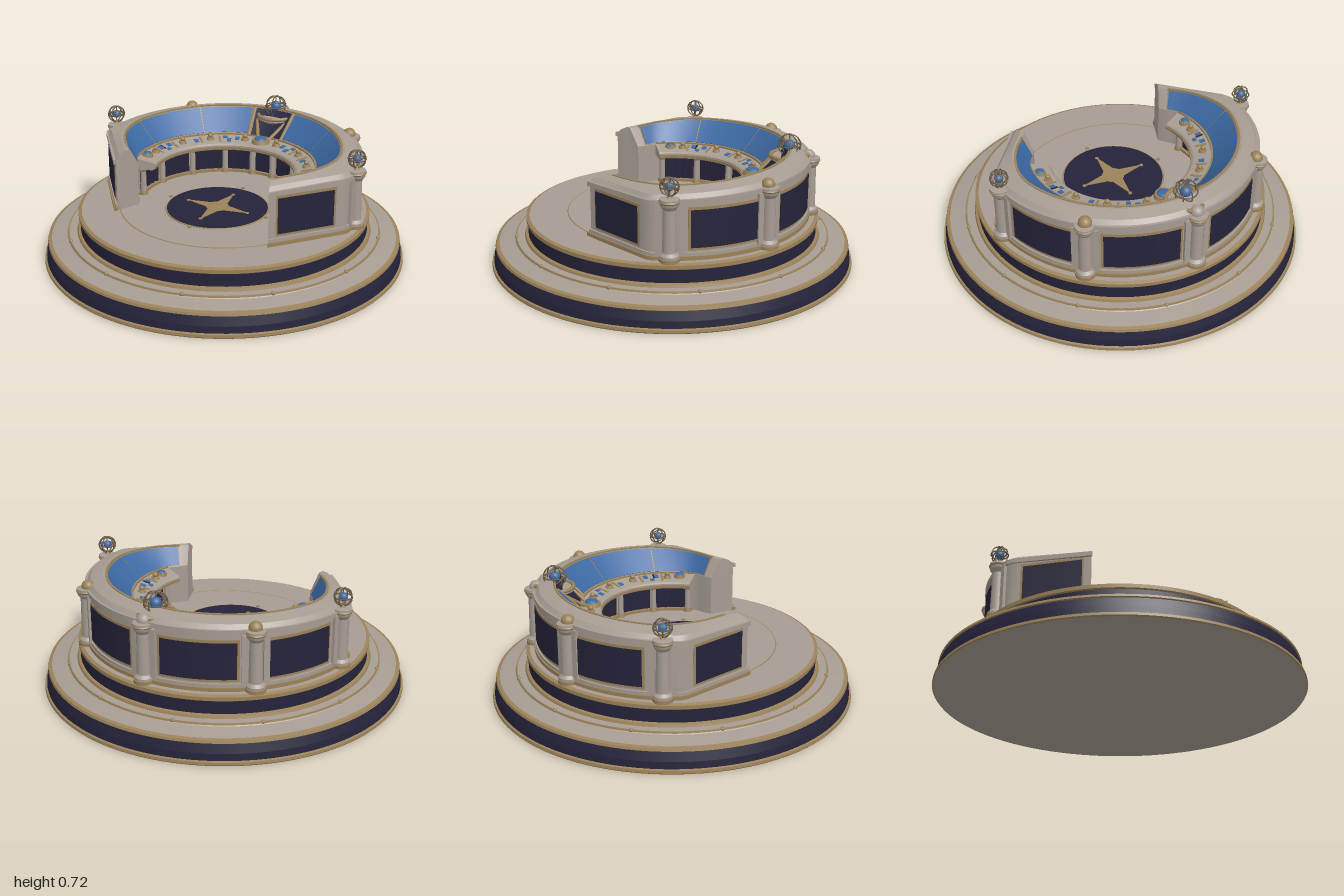
import * as THREE from 'three';
import { mergeGeometries } from 'three/addons/utils/BufferGeometryUtils.js';

const mat = (name, color) => Object.assign(new THREE.MeshStandardMaterial({ color }), { name });
const D = Math.PI / 180;
const smooth = (x, a, b) => THREE.MathUtils.smoothstep(x, a, b);

// Wall outline by angle (degrees from the back): round at the back, straight towards the front ends
const outerR = (a) => {
  a = Math.abs(a);
  return a < 93 ? 0.74 : 0.255 / (0.33 * Math.sin(a * D) - 0.279 * Math.cos(a * D));
};
const rimR = (a) => 0.635 - 0.115 * smooth(Math.abs(a), 75, 129);
const innerR = (a) => 0.5 - 0.03 * smooth(Math.abs(a), 100, 129);
const topY = (a) => 0.617 + 0.02 * Math.cos(a * D);

function place(a, r, y) {
  const s = smooth(Math.abs(a), 104, 129) * 8 * (outerR(a) - r) / 0.12;
  const t = (a - Math.sign(a) * s) * D;
  return [r * Math.sin(t), y, -r * Math.cos(t)];
}

// Sweeps a closed (radius, height) profile around the arc, with crisp profile edges and end caps
function sweep(a0, a1, profile) {
  const n = Math.max(2, Math.ceil((a1 - a0) / 2.5));
  const pos = [], idx = [];
  const count = profile(a0).length;
  for (let e = 0; e < count; e++) {
    const base = pos.length / 3;
    for (let i = 0; i <= n; i++) {
      const a = a0 + (a1 - a0) * i / n, p = profile(a);
      pos.push(...place(a, ...p[e]), ...place(a, ...p[(e + 1) % count]));
      if (i < n) {
        const k = base + i * 2;
        idx.push(k, k + 1, k + 2, k + 1, k + 3, k + 2);
      }
    }
  }
  for (const a of [a0, a1]) {
    const p = profile(a), base = pos.length / 3;
    p.forEach((q) => pos.push(...place(a, ...q)));
    const tris = THREE.ShapeUtils.triangulateShape(p.map((q) => new THREE.Vector2(...q)), []);
    for (const [i, j, k] of tris) idx.push(base + i, base + (a === a1 ? j : k), base + (a === a1 ? k : j));
  }
  const g = new THREE.BufferGeometry();
  g.setAttribute('position', new THREE.Float32BufferAttribute(pos, 3));
  g.setIndex(idx);
  g.computeVertexNormals();
  return g;
}

// Lathe with crisp edges between profile points
const turned = (pts, seg = 96) => mergeGeometries(pts.slice(1).map((p, i) =>
  new THREE.LatheGeometry([new THREE.Vector2(...pts[i]), new THREE.Vector2(...p)], seg)));
const rect = (r0, r1, y0, y1) => [[r0, y0], [r1, y0], [r1, y1], [r0, y1]];

// Thin plate lying on the sloping inside of the wall, between slope fractions t0 and t1
const slopePlate = (t0, t1, h) => (a) => {
  const r = innerR(a), dr = rimR(a) - r, dy = topY(a) - 0.5, l = Math.hypot(dr, dy);
  const at = (t, k) => [r + dr * t - dy / l * k, 0.5 + dy * t + dr / l * k];
  return [at(t1, -0.003), at(t1, h), at(t0, h), at(t0, -0.003)];
};

export function createModel() {
  const stone = mat('stone', 0xa69c92), gold = mat('dull gold', 0x9a8159), navy = mat('navy', 0x25233a);
  const blue = mat('blue', 0x3c69a3), bronze = mat('dark bronze', 0x6b5d4a);
  const model = new THREE.Group();
  const add = (name, geo, m, p = [0, 0, 0], parent = model) => {
    const mesh = new THREE.Mesh(geo, m);
    mesh.name = name;
    mesh.position.set(...p);
    parent.add(mesh);
    return mesh;
  };
  const both = (name, a0, a1, profile, m) => {
    add(name, sweep(a0, a1, profile), m);
    add(name, sweep(-a1, -a0, profile), m);
  };

  // Two-step round base
  add('baseUnderside', turned([[0, 0], [0.995, 0]]), stone);
  add('baseFoot', turned([[0.995, 0], [1, 0.006], [0.998, 0.02], [0.988, 0.024]]), gold);
  add('lowerBand', turned([[0.988, 0.024], [0.984, 0.06], [0.97, 0.108]]), navy);
  add('lowerTrim', turned([[0.97, 0.108], [0.977, 0.112], [0.973, 0.125], [0.955, 0.13]]), gold);
  add('lowerStep', turned([[0.955, 0.13], [0.87, 0.146], [0.86, 0.155], [0.79, 0.158]]), stone);
  add('upperFoot', turned([[0.815, 0.156], [0.81, 0.17], [0.795, 0.174]]), gold);
  add('upperBand', turned([[0.795, 0.17], [0.795, 0.245]]), navy);
  add('upperTrim', turned([[0.795, 0.243], [0.803, 0.248], [0.803, 0.268], [0.785, 0.275]]), gold);
  add('floor', turned([[0.785, 0.275], [0, 0.275]]), stone);
  add('floorLine', turned([[0.578, 0.274], [0.577, 0.277], [0.572, 0.277]]), gold);
  add('stepLine', turned([[0.866, 0.15], [0.864, 0.158], [0.857, 0.158]]), gold);
  for (let i = 0; i < 12; i++) {
    const t = (i + 0.5) * 30 * D;
    add('stepStud', new THREE.SphereGeometry(0.011, 10, 6), gold, [0.86 * Math.sin(t), 0.155, 0.86 * Math.cos(t)]);
  }

  // Floor medallion with a four-pointed star
  const mid = [0, 0, 0.075];
  add('medallionRim', turned([[0.286, 0.274], [0.284, 0.279], [0, 0.279]]), gold, mid);
  add('medallion', turned([[0.277, 0.278], [0.277, 0.281], [0, 0.281]]), navy, mid);
  const star = new THREE.Shape();
  for (let i = 0; i < 8; i++) {
    const r = i % 2 ? 0.05 : 0.19, t = i * 45 * D;
    star[i ? 'lineTo' : 'moveTo'](r * Math.cos(t), r * Math.sin(t));
  }
  const starGeo = new THREE.ExtrudeGeometry(star, { depth: 0.003, bevelEnabled: false }).rotateX(-Math.PI / 2);
  add('star', starGeo, gold, [0, 0.281, 0.075]);
  add('starHub', new THREE.CylinderGeometry(0.062, 0.062, 0.004, 32), gold, [0, 0.283, 0.075]);
  for (let i = 0; i < 4; i++) {
    const t = i * 90 * D;
    for (const r of [0.185, 0.3]) {
      add('floorStud', new THREE.CylinderGeometry(0.011, 0.011, 0.006, 12), gold,
        [r * Math.sin(t), 0.281, 0.075 + r * Math.cos(t)]);
    }
  }

  // Horseshoe wall with foot and cornice
  add('wall', sweep(-129, 129, (a) => [[innerR(a), 0.272], [outerR(a), 0.272], [outerR(a), topY(a) - 0.035],
    [outerR(a) - 0.02, topY(a) - 0.013], [rimR(a) + 0.02, topY(a) + 0.004], [rimR(a), topY(a)], [innerR(a), 0.5]]), stone);
  add('wallFoot', sweep(-129, 129, (a) => rect(outerR(a) - 0.02, outerR(a) + 0.018, 0.272, 0.295)), gold);
  add('wallFootStep', sweep(-129, 129, (a) => rect(outerR(a) - 0.02, outerR(a) + 0.01, 0.29, 0.312)), stone);
  add('cornice', sweep(-129, 129, (a) => rect(outerR(a) - 0.02, outerR(a) + 0.012, topY(a) - 0.058, topY(a) - 0.034)), stone);
  add('rimTrim', sweep(-122, 122, (a) => rect(rimR(a) - 0.004, rimR(a) + 0.008, topY(a) - 0.01, topY(a) + 0.006)), gold);

  // Framed panels outside and sloping screens inside
  for (const [a0, a1] of [[7, 37], [49, 77], [98, 124]]) {
    both('panelFrame', a0 - 1, a1 + 1, (a) => rect(outerR(a) - 0.01, outerR(a) + 0.004, 0.322, 0.545), gold);
    both('outerPanel', a0, a1, (a) => rect(outerR(a) - 0.01, outerR(a) + 0.008, 0.335, 0.53), navy);
  }
  both('screenFrame', 11, 121.5, slopePlate(0.02, 0.98, 0.002), gold);
  for (const [a0, a1] of [[13, 41.5], [42.3, 79.5], [80.3, 120.5]]) both('screen', a0, a1, slopePlate(0.07, 0.95, 0.005), blue);

  // Desk, its edge and the curtained front below it
  add('desk', sweep(-108, 108, () => [[0.52, 0.435], [0.41, 0.435], [0.39, 0.445], [0.39, 0.47], [0.4, 0.478], [0.52, 0.505]].reverse()
    .map((p, i, all) => all[i])), stone);
  add('deskEdge', sweep(-108, 108, () => rect(0.384, 0.4, 0.448, 0.462)), gold);
  add('deskBackTrim', sweep(-108, 108, () => rect(0.495, 0.51, 0.495, 0.508)), gold);
  add('curtainRail', sweep(-106, 106, () => rect(0.465, 0.505, 0.42, 0.437)), gold);
  add('kneeFoot', sweep(-106, 106, () => rect(0.465, 0.505, 0.272, 0.29)), gold);
  const posts = [8, 28, 52, 78, 103];
  posts.forEach((a, i) => {
    if (i) {
      both('curtain', posts[i - 1] + 2, a - 2, (t) => rect(0.484 + 0.006 * Math.cos(t * 72 * D), 0.502, 0.29, 0.42), navy);
    }
    for (const s of [-1, 1]) {
      const p = place(s * a, 0.472, 0.355);
      add('deskPost', new THREE.CylinderGeometry(0.015, 0.018, 0.166, 12), stone, p);
      add('deskPostCap', new THREE.CylinderGeometry(0.025, 0.018, 0.025, 12), gold, [p[0], 0.427, p[2]]);
      add('deskPostFoot', new THREE.CylinderGeometry(0.02, 0.026, 0.025, 12), gold, [p[0], 0.285, p[2]]);
    }
  });
  add('centreCurtain', sweep(-6, 6, () => rect(0.484, 0.502, 0.29, 0.42)), navy);

  // Desk controls
  const deskY = (r) => 0.478 + (r - 0.4) * 0.225;
  const plate = (a0, a1, r0, r1, m) => both('controlPlate', a0, a1, () =>
    [[r0, deskY(r0) - 0.002], [r1, deskY(r1) - 0.002], [r1, deskY(r1) + 0.004], [r0, deskY(r0) + 0.004]], m);
  for (const [a, r0, r1] of [[19, 0.44, 0.47], [25, 0.42, 0.45], [28, 0.46, 0.48], [50, 0.43, 0.46], [72, 0.45, 0.48],
    [76, 0.42, 0.44], [80, 0.45, 0.48]]) plate(a - 1.6, a + 1.6, r0, r1, blue);
  for (const a of [32, 46, 68, 84]) plate(a - 0.8, a + 0.8, 0.42, 0.48, gold);
  plate(77.5, 78.8, 0.445, 0.485, navy);
  const dial = (p, r) => {
    add('dialRing', new THREE.CylinderGeometry(r, r * 1.15, 0.022, 24), gold, p);
    const dome = add('dialLens', new THREE.SphereGeometry(r * 0.78, 24, 8, 0, Math.PI * 2, 0, Math.PI / 2), blue, [p[0], p[1] + 0.011, p[2]]);
    dome.scale.y = 0.4;
  };
  dial([0, 0.5, -0.44], 0.046);
  for (const s of [-1, 1]) {
    dial(place(s * 97, 0.465, 0.494), 0.03);
    for (const a of [13, 39, 61, 88]) {
      const [x, , z] = place(s * a, 0.452, 0);
      add('knobBase', new THREE.CylinderGeometry(0.019, 0.024, 0.016, 16), gold, [x, 0.495, z]);
      add('knob', new THREE.SphereGeometry(0.014, 12, 8), gold, [x, 0.512, z]);
    }
  }

  // Ringed globe on a small stem
  const globe = (x, y, z, r) => {
    const g = new THREE.Group();
    g.name = 'ringedGlobe';
    g.position.set(x, y, z);
    model.add(g);
    for (const [rx, ry] of [[0, 0], [0, 90], [90, 0], [65, 25], [0, 45]]) {
      add('globeRing', new THREE.TorusGeometry(r, 0.0036, 6, 32), bronze, [0, 0, 0], g).rotation.set(rx * D, ry * D, 0);
    }
    add('globeCore', new THREE.SphereGeometry(r * 0.5, 16, 12), blue, [0, 0, 0], g);
    add('globeAxis', new THREE.CylinderGeometry(0.003, 0.003, r * 2, 6), bronze, [0, 0, 0], g);
    add('globeStem', new THREE.CylinderGeometry(0.008, 0.022, 0.03, 12), gold, [0, -r - 0.01, 0], g);
  };

  // Outer columns: two with globes, three with finials
  for (const a of [-85, -44, 0, 44, 85]) {
    const tall = Math.abs(a) === 85, [x, , z] = place(a, 0.75, 0);
    add('column', turned([[0.05, 0.272], [0.05, 0.305], [0.036, 0.32], [0.032, 0.54], [0.046, 0.56], [0.05, 0.575],
      [0.05, 0.595], [0, 0.6]], 20), stone, [x, 0, z]);
    add('columnCollar', turned([[0.05, 0.574], [0.054, 0.58], [0.05, 0.586]], 20), gold, [x, 0, z]);
    add('columnFoot', turned([[0.054, 0.272], [0.054, 0.292], [0.04, 0.296]], 20), gold, [x, 0, z]);
    for (const s of [-4.2, 4.2]) {
      add('pilaster', sweep(a + s - 1.2, a + s + 1.2, (t) => rect(outerR(t) - 0.01, outerR(t) + 0.016, 0.3, 0.57)), stone);
    }
    if (tall) globe(x, 0.655, z, 0.046);
    else add('finial', new THREE.SphereGeometry(0.036, 16, 12), a ? gold : stone, [x * 0.985, 0.602, z * 0.985]);
  }

  // Centre piece: braced shelf with the largest globe
  add('centrePanel', sweep(-10.5, 10.5, slopePlate(0.02, 0.95, 0.005)), navy);
  add('shelf', turned([[0, 0.54], [0.05, 0.54], [0.085, 0.575], [0.105, 0.585], [0.105, 0.6], [0, 0.604]], 40), stone, [0, 0, -0.635]);
  add('shelfRim', new THREE.TorusGeometry(0.1, 0.011, 8, 40).rotateX(Math.PI / 2), gold, [0, 0.602, -0.635]);
  const bar = (p, q, r) => add('brace', new THREE.TubeGeometry(new THREE.LineCurve3(new THREE.Vector3(...p),
    new THREE.Vector3(...q)), 1, r, 8), gold);
  for (const s of [-1, 1]) {
    bar([s * 0.11, 0.605, -0.61], [s * 0.035, 0.5, -0.475], 0.01);
    bar([s * 0.125, 0.63, -0.615], [s * 0.105, 0.505, -0.49], 0.01);
    bar([s * 0.095, 0.605, -0.66], [s * 0.025, 0.615, -0.74], 0.012);
  }
  globe(0, 0.658, -0.635, 0.06);
  return model;
}
